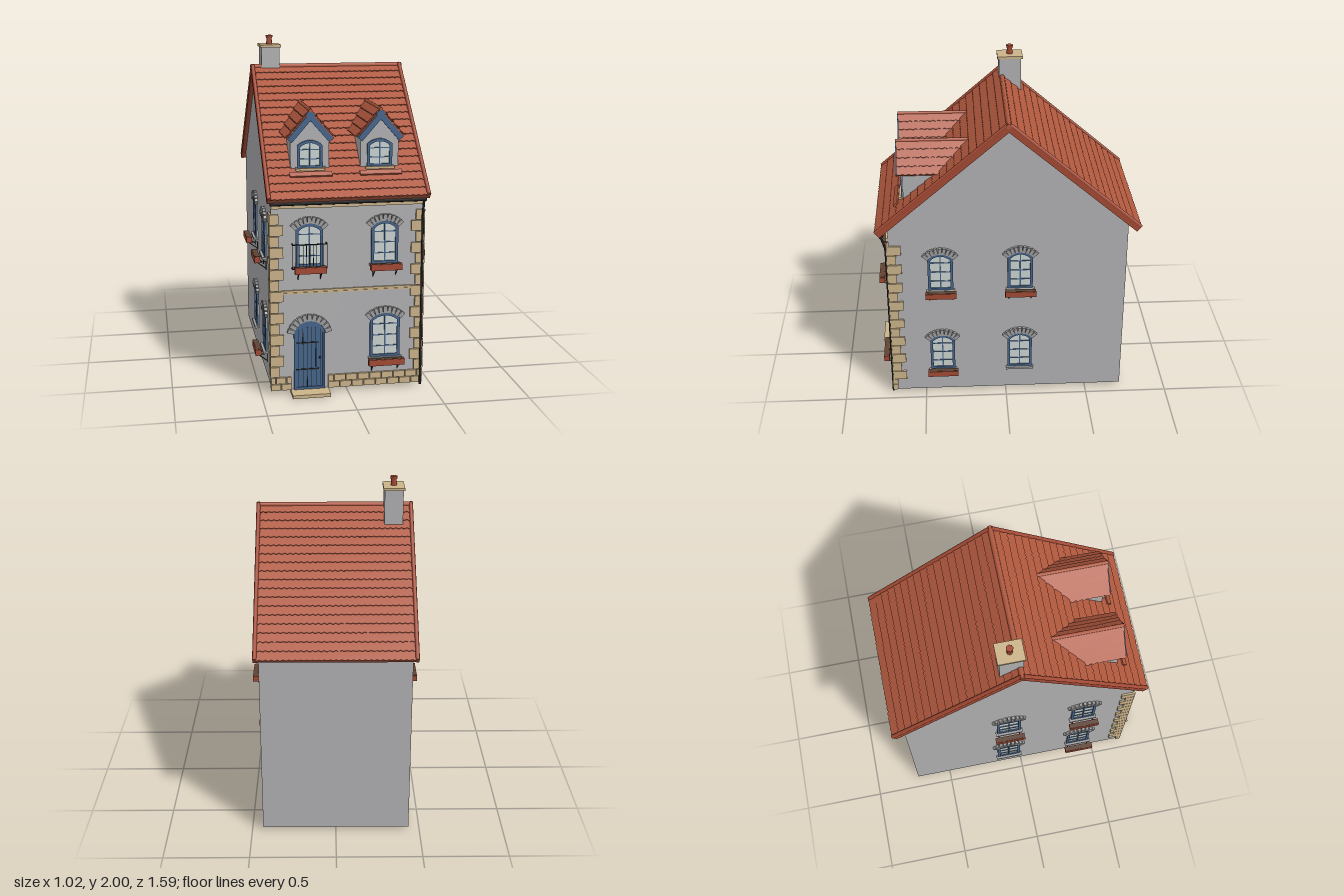
import * as THREE from 'three';

const mat = (name, color) => Object.assign(new THREE.MeshStandardMaterial({ color }), { name });
const M = {
  wall: mat('wall plaster', 0xb2b2b4), brick: mat('grey brick', 0xa0a0a0),
  stone: mat('sandstone', 0xccb48a), tile: mat('roof tile', 0xb0583e),
  clay: mat('terracotta', 0xa44a34), blue: mat('blue paint', 0x46658c),
  glass: mat('glass', 0xccd5d2), iron: mat('black iron', 0x232323), soil: mat('soil', 0x5c4434),
};

function add(parent, name, geo, material, x = 0, y = 0, z = 0) {
  const m = new THREE.Mesh(geo, material);
  m.name = name;
  m.position.set(x, y, z);
  parent.add(m);
  return m;
}
const box = (parent, name, material, w, h, d, x, y, z) =>
  add(parent, name, new THREE.BoxGeometry(w, h, d), material, x, y, z);
function group(parent, name, x = 0, y = 0, z = 0, ry = 0) {
  const g = new THREE.Group();
  g.name = name;
  g.position.set(x, y, z);
  g.rotation.y = ry;
  parent.add(g);
  return g;
}
const extrude = (shape, depth) =>
  new THREE.ExtrudeGeometry(shape, { depth, bevelEnabled: false, curveSegments: 8 });
// Round bar between two points
function bar(parent, name, material, a, b, r) {
  const curve = new THREE.LineCurve3(new THREE.Vector3(...a), new THREE.Vector3(...b));
  return add(parent, name, new THREE.TubeGeometry(curve, 1, r, 6), material);
}

// Opening outline with a segmental arch on top
const arcRadius = (w, rise) => (w * w / 4 + rise * rise) / (2 * rise);
function archShape(w, h, rise, y0 = 0) {
  const R = arcRadius(w, rise), a = Math.acos(w / 2 / R), s = new THREE.Shape();
  s.moveTo(-w / 2, y0);
  s.lineTo(w / 2, y0);
  s.lineTo(w / 2, y0 + h - rise);
  s.absarc(0, y0 + h - R, R, a, Math.PI - a, false);
  s.closePath();
  return s;
}
function archFrame(parent, w, h, rise, t) {
  const s = archShape(w, h, rise);
  s.holes.push(archShape(w - 2 * t, h - 2 * t, rise * 0.8, t));
  add(parent, 'frame', extrude(s, 0.012), M.blue);
}
function brickArch(parent, w, h, rise, n) {
  const R = arcRadius(w, rise), half = Math.PI / 2 - Math.acos(w / 2 / R);
  for (let i = 0; i < n; i++) {
    const a = half * 1.04 * (2 * (i + 0.5) / n - 1), r = R + 0.02;
    const b = box(parent, 'archBrick', M.brick, 2 * half * r / n * 0.88, 0.038, 0.022,
      Math.sin(a) * r, h - R + Math.cos(a) * r, 0.008);
    b.rotation.z = -a;
  }
}
function planter(parent, w, y) {
  const g = group(parent, 'planter', 0, y, 0);
  box(g, 'planterBox', M.clay, w, 0.036, 0.034, 0, 0, 0.056);
  box(g, 'planterSoil', M.soil, w - 0.012, 0.004, 0.026, 0, 0.018, 0.056);
  for (const s of [-1, 1]) {
    const x = s * w * 0.36;
    bar(g, 'bracket', M.iron, [x, -0.062, 0], [x, -0.016, 0.06], 0.0028);
    bar(g, 'bracket', M.iron, [x, -0.018, 0], [x, -0.018, 0.07], 0.0028);
    bar(g, 'bracket', M.iron, [x, -0.068, 0.002], [x, -0.018, 0.002], 0.0028);
  }
}
function windowUnit(parent, w, h, rise, rows, arch = true) {
  add(parent, 'glass', extrude(archShape(w, h, rise), 0.004), M.glass);
  archFrame(parent, w, h, rise, 0.016);
  box(parent, 'mullion', M.blue, 0.007, h - 0.02, 0.008, 0, h / 2, 0.005);
  for (let i = 1; i < rows; i++)
    box(parent, 'glazingBar', M.blue, w - 0.02, 0.005, 0.007, 0, h * i / rows, 0.005);
  box(parent, 'sill', arch ? M.brick : M.stone, w + 0.02, 0.014, 0.03, 0, -0.004, 0.012);
  if (arch) brickArch(parent, w, h, rise, 9);
}

// One roof slope: origin at the eave, climbing away from +z
function roofSlope(parent, name, width, run, rise, courses, tiles, x, y, z, ry) {
  const g = group(group(parent, name, x, y, z, ry), 'slope');
  g.rotation.x = -(Math.PI / 2 - Math.atan2(rise, run));
  const len = Math.hypot(run, rise), s = len / courses, t = width / tiles;
  box(g, 'roofBoard', M.tile, width, len, 0.026, 0, len / 2, -0.013);
  const c = new THREE.Shape();
  c.moveTo(width / 2, s + 0.004);
  c.lineTo(-width / 2, s + 0.004);
  c.lineTo(-width / 2, 0);
  for (let i = 0; i < tiles; i++)
    c.quadraticCurveTo(-width / 2 + (i + 0.5) * t, -0.014, -width / 2 + (i + 1) * t, 0);
  const geo = new THREE.ExtrudeGeometry(c, { depth: 0.005, bevelEnabled: false, curveSegments: 3 });
  for (let i = 0; i < courses; i++)
    add(g, 'tileCourse', geo, M.tile, 0, i * s, 0.006).rotation.x = -0.12;
  return { g, len };
}

function buildShell(root) {
  // Gable walls, front and back walls, open underneath
  const gable = new THREE.Shape([[0.69, 0.02], [0.69, 1.165], [-0.015, 1.785], [-0.72, 1.165], [-0.72, 0.02]]
    .map(p => new THREE.Vector2(...p)));
  for (const x of [0.435, -0.405])
    add(root, 'gableWall', extrude(gable, 0.03), M.wall, x).rotation.y = -Math.PI / 2;
  box(root, 'frontWall', M.wall, 0.82, 1.145, 0.03, 0, 0.5925, 0.675);
  box(root, 'backWall', M.wall, 0.82, 1.145, 0.03, 0, 0.5925, -0.705);
  // Rooms seen from below
  box(root, 'ceiling', M.stone, 0.81, 0.02, 1.35, 0, 0.5, -0.015);
  box(root, 'hallFloor', M.stone, 0.81, 0.05, 0.54, 0, 0.07, 0.39);
  box(root, 'roomBlock', M.stone, 0.24, 0.45, 0.38, -0.285, 0.265, -0.06);
  box(root, 'roomBlock', M.stone, 0.25, 0.4, 0.38, 0.28, 0.29, -0.1);
}

function buildStonework(root) {
  // Corner quoins alternating long and short
  for (let i = 0; i < 15; i++)
    for (const s of [-1, 1]) {
      const long = i % 2, w = long ? 0.078 : 0.052, d = long ? 0.055 : 0.085;
      box(root, 'quoin', M.stone, w, 0.059, d, s * (0.446 - w / 2), 0.132 + i * 0.064, 0.703 - d / 2);
    }
  // Plinth stones, interrupted by the door
  for (let r = 0; r < 2; r++)
    for (const [a, b, n] of [[-0.446, -0.325, 2], [-0.115, 0.446, 8]]) {
      const w = (b - a) / n;
      for (let i = 0; i < n + r; i++) {
        const l = Math.max(a, a + (i - r / 2) * w), e = Math.min(b, a + (i + 1 - r / 2) * w);
        box(root, 'plinthStone', M.stone, e - l - 0.005, 0.036, 0.03, (l + e) / 2, 0.04 + r * 0.04, 0.69);
      }
    }
  box(root, 'stringCourse', M.stone, 0.76, 0.012, 0.02, 0, 0.608, 0.69);
  box(root, 'stringCourse', M.stone, 0.76, 0.008, 0.014, 0, 0.596, 0.69);
  box(root, 'cornice', M.stone, 0.87, 0.022, 0.026, 0, 1.1, 0.69);
  box(root, 'doorStep', M.stone, 0.22, 0.02, 0.12, -0.22, 0.01, 0.73);
}

function buildOpenings(root) {
  // Front windows
  const ul = group(root, 'balconyWindow', -0.22, 0.75, 0.69);
  windowUnit(ul, 0.155, 0.25, 0.035, 4);
  planter(ul, 0.18, -0.008);
  const ur = group(root, 'upperWindow', 0.214, 0.75, 0.69);
  windowUnit(ur, 0.155, 0.25, 0.035, 4);
  planter(ur, 0.18, -0.008);
  const lr = group(root, 'lowerWindow', 0.22, 0.19, 0.69);
  windowUnit(lr, 0.175, 0.265, 0.035, 4);
  planter(lr, 0.21, -0.015);
  // Balcony railing
  const rail = group(root, 'railing', -0.22, 0.745, 0.69);
  for (const y of [0, 0.14]) {
    box(rail, 'rail', M.iron, 0.2, 0.005, 0.005, 0, y, 0.035);
    for (const s of [-1, 1]) box(rail, 'railReturn', M.iron, 0.005, 0.005, 0.035, s * 0.0975, y, 0.018);
  }
  for (let i = 0; i < 11; i++)
    box(rail, 'railBar', M.iron, 0.003, 0.14, 0.003, -0.0975 + i * 0.0195, 0.07, 0.035);
  // Plank door
  const door = group(root, 'door', -0.22, 0.02, 0.69);
  add(door, 'doorLeaf', extrude(archShape(0.18, 0.41, 0.07), 0.005), M.blue);
  archFrame(door, 0.18, 0.41, 0.07, 0.014);
  for (let i = 0; i < 6; i++)
    box(door, 'plankGap', M.iron, 0.003, 0.37 - Math.abs(i - 2.5) * 0.012, 0.002, -0.0625 + i * 0.025, 0.19, 0.0055);
  for (const y of [0.12, 0.28]) box(door, 'hinge', M.iron, 0.13, 0.007, 0.004, -0.01, y, 0.007);
  add(door, 'doorKnob', new THREE.SphereGeometry(0.007, 8, 6), M.iron, 0.06, 0.19, 0.012);
  brickArch(door, 0.18, 0.41, 0.07, 11);
  // Side windows, the same on both sides
  for (const s of [-1, 1])
    for (const z of [0.39, -0.085])
      for (const y of [0.175, 0.75]) {
        const g = group(root, 'sideWindow', s * 0.435, y, z, s * Math.PI / 2);
        windowUnit(g, 0.15, 0.25, 0.035, 4);
        if (y > 0.5 || z > 0) planter(g, 0.185, y > 0.5 ? -0.008 : 0.002);
      }
}

function buildRoof(root) {
  for (const [z, ry] of [[0.755, 0], [-0.785, Math.PI]]) {
    const { g, len } = roofSlope(root, 'mainRoof', 0.91, 0.77, 0.665, 18, 28, 0, 1.15, z, ry);
    for (const s of [-1, 1]) {
      box(g, 'vergeBoard', M.clay, 0.016, len, 0.034, s * 0.454, len / 2, -0.012);
      add(g, 'vergeTile', new THREE.CylinderGeometry(0.012, 0.012, len, 8), M.clay, s * 0.452, len / 2, 0.008);
    }
  }
  add(root, 'ridgeTile', new THREE.CylinderGeometry(0.016, 0.016, 0.93, 8), M.tile, 0, 1.814, -0.015)
    .rotation.z = Math.PI / 2;
  // Gutter and downpipe
  add(root, 'gutter', new THREE.CylinderGeometry(0.014, 0.014, 0.89, 8), M.iron, 0, 1.125, 0.728)
    .rotation.z = Math.PI / 2;
  const path = new THREE.CatmullRomCurve3([[1.12, 0.73], [1.09, 0.722], [1.05, 0.708], [0.95, 0.706], [0.5, 0.706], [0.01, 0.706]]
    .map(([y, z]) => new THREE.Vector3(0.432, y, z)));
  add(root, 'downpipe', new THREE.TubeGeometry(path, 30, 0.007, 8), M.iron);
}

function buildDormer(root, x) {
  const d = group(root, 'dormer', x);
  const body = new THREE.Shape([[-0.11, 1.2], [0.11, 1.2], [0.11, 1.475], [0, 1.6], [-0.11, 1.475]]
    .map(p => new THREE.Vector2(...p)));
  add(d, 'dormerBody', extrude(body, 0.395), M.wall, 0, 0, 0.2);
  for (const s of [-1, 1]) {
    const { g, len } = roofSlope(d, 'dormerRoof', 0.42, 0.135, 0.155, 4, 12, s * 0.135, 1.47, 0.415, s * Math.PI / 2);
    box(g, 'bargeBoard', M.blue, 0.014, len, 0.032, -s * 0.21, len / 2, -0.022);
  }
  add(d, 'dormerRidge', new THREE.CylinderGeometry(0.011, 0.011, 0.44, 8), M.tile, 0, 1.625, 0.41)
    .rotation.x = Math.PI / 2;
  windowUnit(group(d, 'dormerWindow', 0, 1.295, 0.595), 0.145, 0.16, 0.03, 3, false);
  // Flashing where the front meets the roof
  box(d, 'flashing', M.tile, 0.24, 0.012, 0.03, 0, 1.268, 0.64).rotation.x = 0.72;
}

function buildChimney(root) {
  const c = group(root, 'chimney', -0.345, 0, -0.063);
  box(c, 'stack', M.wall, 0.11, 0.3, 0.135, 0, 1.785, 0);
  box(c, 'cap', M.stone, 0.125, 0.016, 0.155, 0, 1.938, 0);
  box(c, 'chimneyFlashing', M.tile, 0.135, 0.012, 0.05, 0, 1.785, 0.082).rotation.x = 0.71;
  add(c, 'pot', new THREE.CylinderGeometry(0.015, 0.018, 0.054, 8), M.clay, 0, 1.973, 0);
  add(c, 'potRim', new THREE.CylinderGeometry(0.021, 0.019, 0.018, 8), M.clay, 0, 1.991, 0);
}

export function createModel() {
  const root = new THREE.Group();
  root.name = 'townHouse';
  buildShell(root);
  buildStonework(root);
  buildOpenings(root);
  buildRoof(root);
  for (const x of [-0.2, 0.2]) buildDormer(root, x);
  buildChimney(root);
  return root;
}
